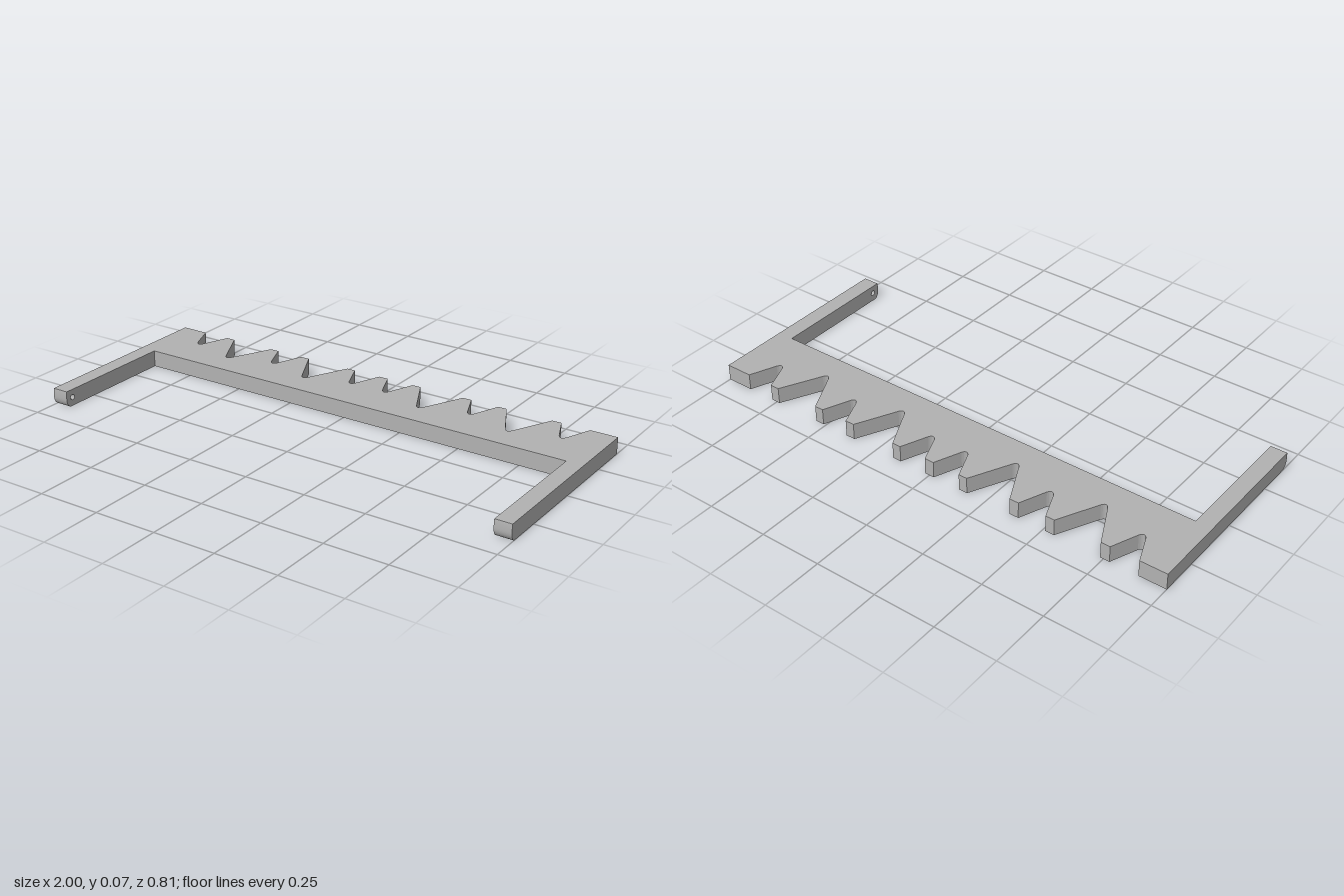
import * as THREE from 'three';

const H = 0.067;       // plate thickness
const BACK = 0.405;    // distance of the toothed edge behind the centre
const INNER = 0.933;   // inner face of the arms
const FLOOR = 0.968;   // bottom of the pivot holes

// Notches along the back edge: [centre x, half width, depth]
const half = [[0.077, 0.0575, 0.12], [0.264, 0.094, 0.175], [0.453, 0.0575, 0.12],
  [0.642, 0.095, 0.175], [0.832, 0.0575, 0.12]];
const notches = [...half.map(([c, w, d]) => [-c, w, d]).reverse(), ...half];

function toothedBar(material) {
  const s = new THREE.Shape();
  s.moveTo(1, 0.12);
  s.lineTo(1, BACK);
  for (const [c, w, d] of [...notches].reverse()) {
    s.lineTo(c + w, BACK);
    s.lineTo(c + 0.014, BACK - d + 0.012);
    s.quadraticCurveTo(c, BACK - d - 0.012, c - 0.014, BACK - d + 0.012);
    s.lineTo(c - w, BACK);
  }
  s.lineTo(-1, BACK);
  s.lineTo(-1, 0.12);
  s.closePath();
  const g = new THREE.ExtrudeGeometry(s, { depth: H, bevelEnabled: false, curveSegments: 6 });
  g.rotateX(-Math.PI / 2);
  const bar = new THREE.Mesh(g, material);
  bar.name = 'toothedBar';
  return bar;
}

// One layer of an arm, its side profile extruded from x = from down to x = to
function armLayer(name, from, to, hole, material) {
  const s = new THREE.Shape();
  s.moveTo(-0.12, 0);
  s.lineTo(0.387, 0);
  s.bezierCurveTo(0.398, 0.006, 0.405, 0.018, 0.405, 0.036);
  s.quadraticCurveTo(0.405, 0.055, 0.403, H);
  s.lineTo(-0.12, H);
  s.closePath();
  if (hole) s.holes.push(new THREE.Path().absarc(0.372, 0.035, 0.011, 0, Math.PI * 2, true));
  const g = new THREE.ExtrudeGeometry(s, { depth: from - to, bevelEnabled: false, curveSegments: 10 });
  g.rotateY(-Math.PI / 2);
  g.translate(from, 0, 0);
  const mesh = new THREE.Mesh(g, material);
  mesh.name = name;
  return mesh;
}

export function createModel() {
  const grey = new THREE.MeshStandardMaterial({ color: 0xb2b2b2 });
  grey.name = 'plainGrey';
  const model = new THREE.Group();
  model.name = 'toothedFrame';
  model.add(toothedBar(grey));

  // Arms with blind pivot holes on their inner faces
  const leftArm = new THREE.Group();
  leftArm.name = 'leftArm';
  leftArm.add(armLayer('leftArmOuter', 1, FLOOR, false, grey), armLayer('leftArmInner', FLOOR, INNER, true, grey));
  const rightArm = new THREE.Group();
  rightArm.name = 'rightArm';
  rightArm.add(armLayer('rightArmInner', -INNER, -FLOOR, true, grey), armLayer('rightArmOuter', -FLOOR, -1, false, grey));
  model.add(leftArm, rightArm);
  return model;
}
